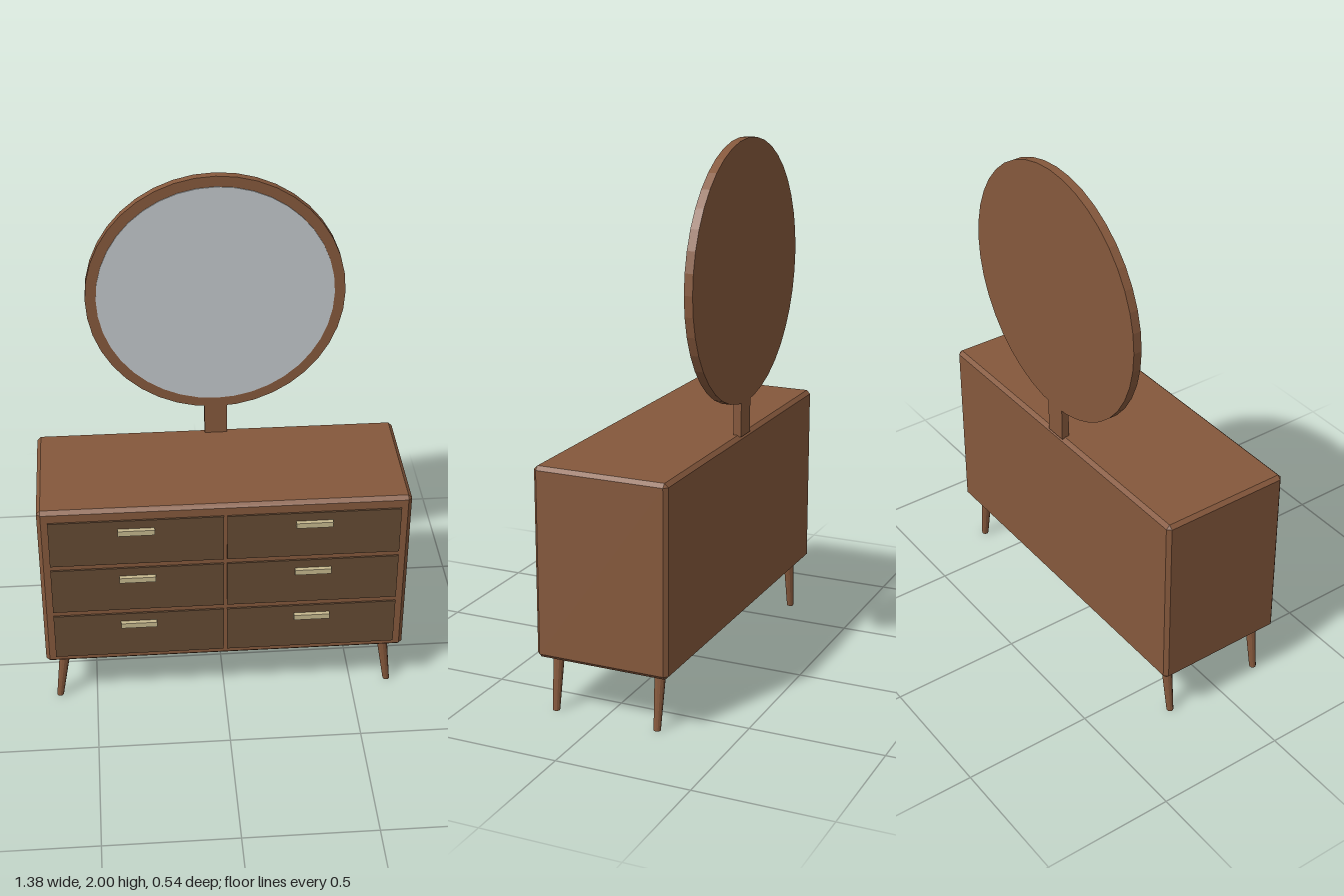
import * as THREE from 'three';
import { ConvexGeometry } from 'three/addons/geometries/ConvexGeometry.js';

const wood = new THREE.MeshStandardMaterial({ name: 'wood', color: 0x85583c });
const darkWood = new THREE.MeshStandardMaterial({ name: 'dark wood', color: 0x644a33 });
const brass = new THREE.MeshStandardMaterial({ name: 'pale brass', color: 0xc6b88e });
const glass = new THREE.MeshStandardMaterial({ name: 'mirror glass', color: 0xc2c7ca });

function add(parent, name, geometry, material, x, y, z) {
  const mesh = new THREE.Mesh(geometry, material);
  mesh.name = name;
  mesh.position.set(x, y, z);
  parent.add(mesh);
  return mesh;
}

// Box with every edge cut by a small flat chamfer
function chamferedBox(w, h, d, c) {
  const points = [];
  for (const sx of [-1, 1]) for (const sy of [-1, 1]) for (const sz of [-1, 1]) {
    const x = w / 2, y = h / 2, z = d / 2;
    points.push(
      new THREE.Vector3(sx * x, sy * (y - c), sz * (z - c)),
      new THREE.Vector3(sx * (x - c), sy * y, sz * (z - c)),
      new THREE.Vector3(sx * (x - c), sy * (y - c), sz * z));
  }
  return new ConvexGeometry(points);
}

// Tapered round leg between two points
function legGeometry(top, bottom) {
  const g = new THREE.CylinderGeometry(0.021, 0.013, top.y - bottom.y, 12).toNonIndexed();
  const p = g.attributes.position;
  const h = top.y - bottom.y;
  for (let i = 0; i < p.count; i++) {
    const t = p.getY(i) / h + 0.5;
    p.setX(i, p.getX(i) + THREE.MathUtils.lerp(bottom.x, top.x, t));
    p.setY(i, p.getY(i) + h / 2);
  }
  g.computeVertexNormals();
  return g;
}

export function createModel() {
  const group = new THREE.Group();
  group.name = 'dressingTable';

  // Cabinet
  add(group, 'cabinet', chamferedBox(1.376, 0.71, 0.512, 0.014), wood, 0, 0.565, -0.014);

  // Drawer fronts and their pulls
  const drawer = new THREE.BoxGeometry(0.643, 0.196, 0.03);
  const pull = new THREE.BoxGeometry(0.136, 0.022, 0.02);
  for (let row = 0; row < 3; row++) {
    const y = 0.341 + row * 0.217;
    for (const side of [-1, 1]) {
      add(group, 'drawer', drawer, darkWood, side * 0.328, y, 0.234);
      add(group, 'drawerPull', pull, brass, side * 0.328, y + 0.052, 0.2555);
    }
  }

  // Splayed legs
  for (const side of [-1, 1]) {
    const leg = legGeometry(new THREE.Vector2(side * 0.616, 0.22), new THREE.Vector2(side * 0.645, 0));
    add(group, 'frontLeg', leg, wood, 0, 0, 0.188);
    add(group, 'backLeg', leg, wood, 0, 0, -0.212);
  }

  // Round mirror on a short post
  add(group, 'mirrorPost', new THREE.BoxGeometry(0.086, 0.14, 0.03), wood, 0, 0.985, -0.254);
  const frame = new THREE.CylinderGeometry(0.48, 0.48, 0.032, 40).rotateX(Math.PI / 2).toNonIndexed();
  frame.computeVertexNormals();
  add(group, 'mirrorFrame', frame, wood, 0, 1.52, -0.254);
  const pane = new THREE.CylinderGeometry(0.44, 0.44, 0.006, 40).rotateX(Math.PI / 2);
  add(group, 'mirrorGlass', pane, glass, 0, 1.52, -0.2375);

  return group;
}
